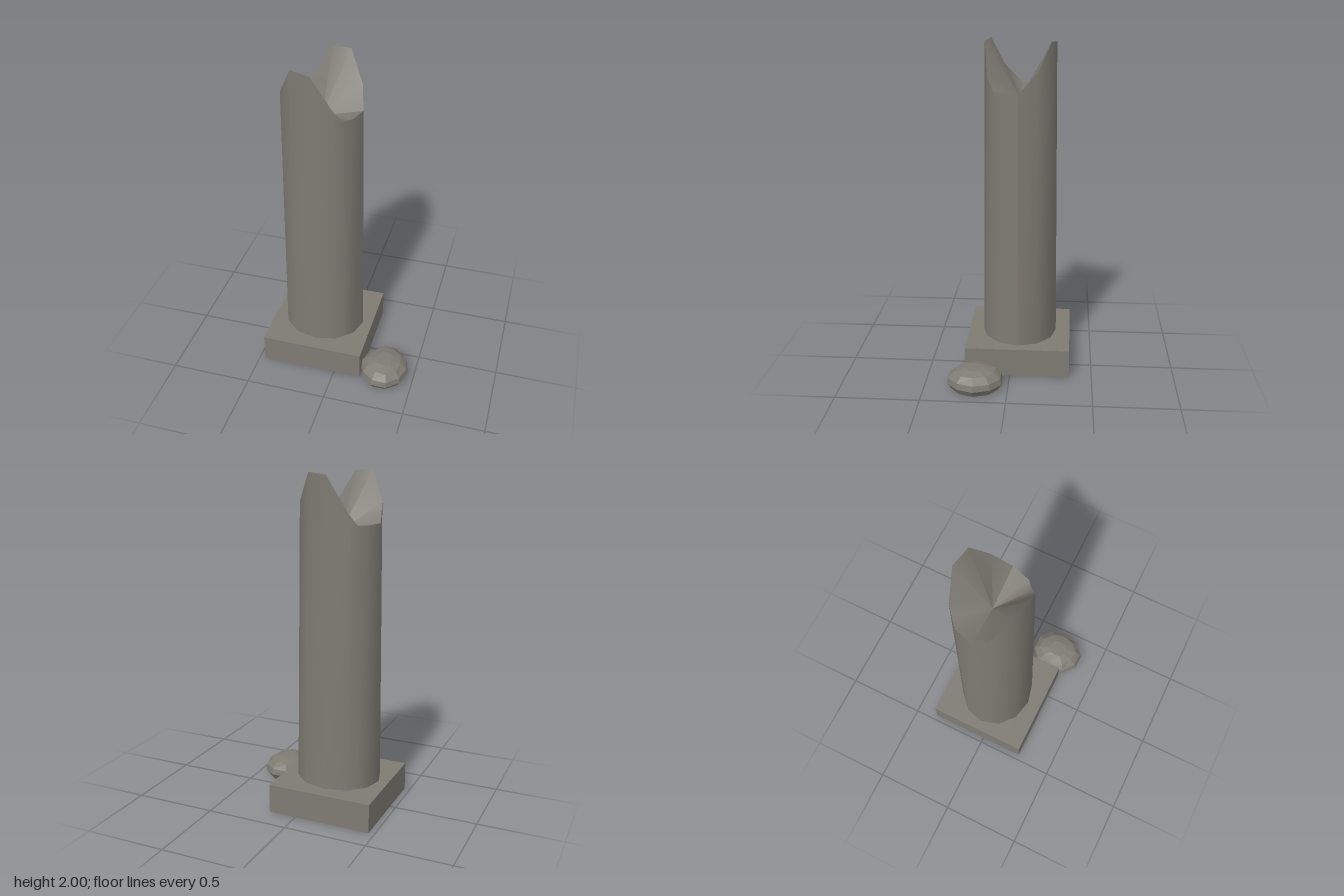
import * as THREE from 'three';

const stone = new THREE.MeshStandardMaterial({ color: 0x7d7b72 });
stone.name = 'weathered stone';

// Joins equally long rings of [x, y, z] points, ordered from bottom to top
function loft(rings, faceted = false) {
  const n = rings[0].length;
  const index = [];
  for (let r = 0; r < rings.length - 1; r++) {
    for (let i = 0; i < n - 1; i++) {
      const a = r * n + i, b = a + 1, c = a + n, d = c + 1;
      index.push(a, c, b, b, c, d);
    }
  }
  let geometry = new THREE.BufferGeometry();
  geometry.setAttribute('position', new THREE.Float32BufferAttribute(rings.flat(2), 3));
  geometry.setIndex(index);
  if (faceted) geometry = geometry.toNonIndexed();
  geometry.computeVertexNormals();
  return geometry;
}

function addMesh(group, name, geometry) {
  const mesh = new THREE.Mesh(geometry, stone);
  mesh.name = name;
  group.add(mesh);
  return mesh;
}

export function createModel() {
  const group = new THREE.Group();
  group.name = 'brokenColumn';

  // Square plinth
  addMesh(group, 'plinth', new THREE.BoxGeometry(0.634, 0.175, 0.634))
    .position.set(-0.148, 0.0875, -0.045);

  // Broken rim: [step around a twelve-sided shaft, height], same on both halves
  const half = [[0, 1.72], [1, 1.72], [1.53, 1.72], [2, 1.79], [3, 1.99], [4, 2], [5, 1.83]];
  const rim = [...half, ...half.map(([k, y]) => [k + 6, y]), [12, 1.72]];
  const corner = (k) => [Math.cos(k * Math.PI / 6), Math.sin(k * Math.PI / 6)];

  // Point on the tapered shaft, kept on the straight facet between two corners
  function shaftPoint(k, y) {
    const k0 = Math.floor(k), f = k - k0;
    const [c0, s0] = corner(k0), [c1, s1] = corner(k0 + 1);
    const t = y - 0.175;
    return [
      -0.148 + (c0 + (c1 - c0) * f) * (0.256 - 0.0115 * t),
      y,
      -0.045 + (s0 + (s1 - s0) * f) * (0.23 - 0.0105 * t),
    ];
  }
  const rimRing = rim.map(([k, y]) => shaftPoint(k, y));
  addMesh(group, 'shaft', loft([rim.map(([k]) => shaftPoint(k, 0.17)), rimRing]));

  // Break surface: slopes from the jagged rim down to a shallow centre
  addMesh(group, 'breakSurface', loft([rimRing, rim.map(() => [-0.148, 1.66, -0.045])]));

  // Fallen lump of stone: ten-sided rings of [height, scale], roughened on top
  const profile = [[0, 0], [0, 0.83], [0.04, 1], [0.075, 0.95], [0.108, 0.72], [0.125, 0.36], [0.127, 0]];
  const rockRings = profile.map(([y, s], r) => Array.from({ length: 11 }, (_, i) => {
    const k = i % 10;
    const a = k * Math.PI / 5;
    const wobble = 1 + (r > 3 ? 0.06 : 0.015) * Math.sin(k * 2.3 + r);
    return [
      0.312 + Math.cos(a) * 0.152 * s * wobble,
      y,
      0.197 + Math.sin(a) * 0.171 * s * wobble,
    ];
  }));
  addMesh(group, 'fallenStone', loft(rockRings, true));

  return group;
}
